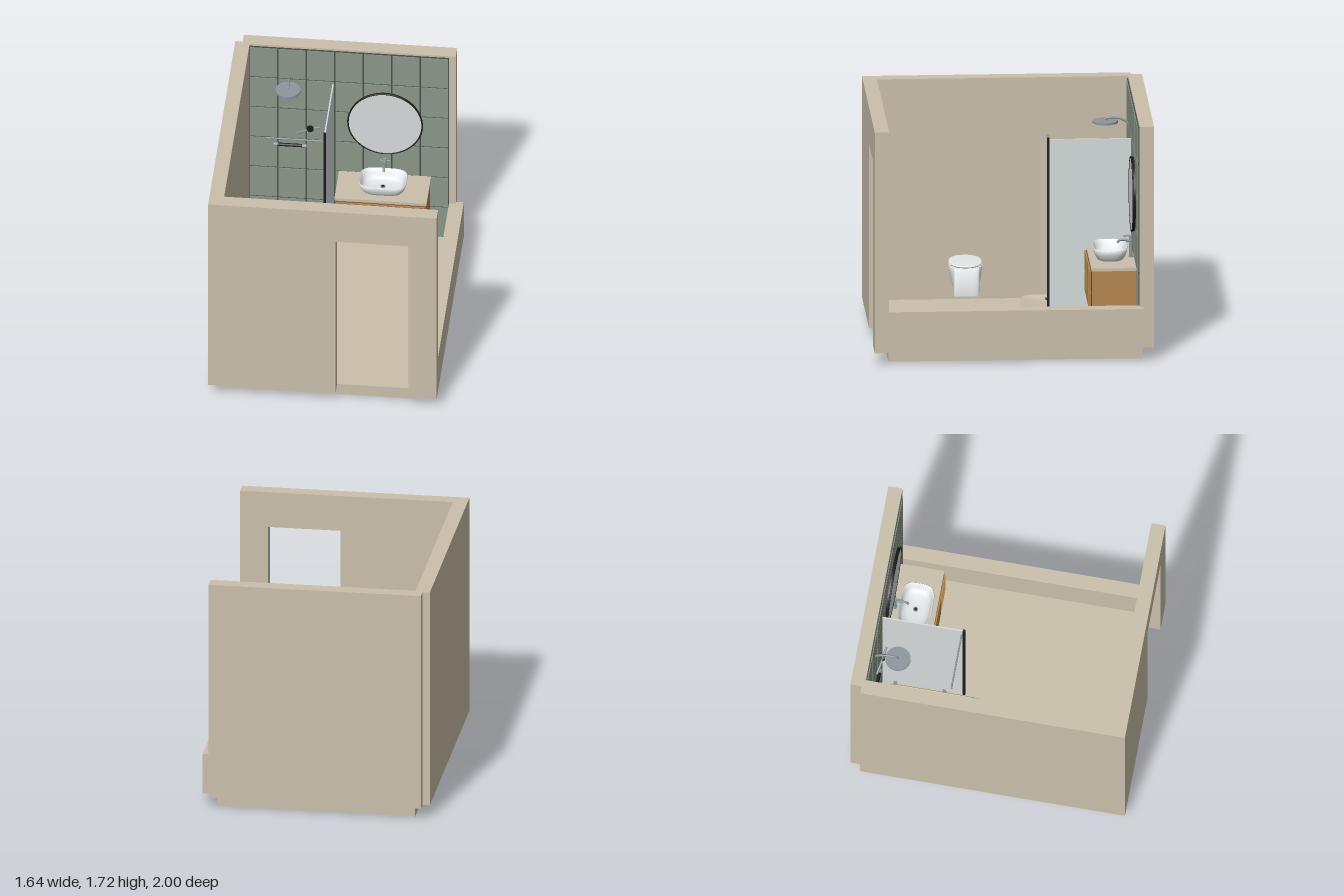
import * as THREE from 'three';
import { toCreasedNormals } from 'three/addons/utils/BufferGeometryUtils.js';

const mat = (name, color, side = THREE.FrontSide) => {
  const m = new THREE.MeshStandardMaterial({ color, side });
  m.name = name;
  return m;
};

export function createModel() {
  const root = new THREE.Group();
  root.name = 'bathroom';
  const M = {
    plaster: mat('warm plaster', 0xcabfab),
    tile: mat('sage tile', 0x8b9788),
    grout: mat('dark grout', 0x465048),
    ceramic: mat('white ceramic', 0xe6eaea),
    mirror: mat('pale glass', 0xd6dbdb),
    black: mat('matt black', 0x1c1c1c),
    chrome: mat('brushed steel', 0x8f969c),
    wood: mat('oak', 0xb58850),
    darkWood: mat('dark oak', 0x5e4022),
  };
  const group = (name, parent = root) => {
    const g = new THREE.Group();
    g.name = name;
    parent.add(g);
    return g;
  };
  const add = (name, geo, m, parent = root) => {
    const mesh = new THREE.Mesh(geo, m);
    mesh.name = name;
    parent.add(mesh);
    return mesh;
  };
  // box given by its limits on each axis
  const box = (name, [x0, x1], [y0, y1], [z0, z1], m, parent) => {
    const mesh = add(name, new THREE.BoxGeometry(x1 - x0, y1 - y0, z1 - z0), m, parent);
    mesh.position.set((x0 + x1) / 2, (y0 + y1) / 2, (z0 + z1) / 2);
    return mesh;
  };
  const cyl = (name, r, h, [x, y, z], m, parent, axis = 'y', seg = 24) => {
    const mesh = add(name, new THREE.CylinderGeometry(r, r, h, seg), m, parent);
    mesh.position.set(x, y, z);
    if (axis === 'x') mesh.rotation.z = Math.PI / 2;
    if (axis === 'z') mesh.rotation.x = Math.PI / 2;
    return mesh;
  };
  const tube = (name, pts, r, m, parent) => add(name, new THREE.TubeGeometry(
    new THREE.CatmullRomCurve3(pts.map(p => new THREE.Vector3(...p))), 28, r, 10), m, parent);
  // skin over superellipse rings: [y, half x, half z, exponent, x shift]
  const loft = (cx, cz, rings, crease = 0.6, seg = 64) => {
    const pos = [], idx = [];
    const pw = (v, n) => Math.sign(v) * Math.abs(v) ** (2 / n);
    rings.forEach(([y, a, b, n = 2, dx = 0], r) => {
      for (let i = 0; i < seg; i++) {
        const t = i / seg * Math.PI * 2;
        pos.push(cx + dx + a * pw(Math.cos(t), n), y, cz - b * pw(Math.sin(t), n));
        if (r) {
          const j = (i + 1) % seg, lo = (r - 1) * seg, hi = r * seg;
          idx.push(lo + i, lo + j, hi + j, lo + i, hi + j, hi + i);
        }
      }
    });
    const g = new THREE.BufferGeometry();
    g.setAttribute('position', new THREE.Float32BufferAttribute(pos, 3));
    g.setIndex(idx);
    return toCreasedNormals(g, crease);
  };

  // room shell
  const shell = group('roomShell');
  box('floorSlab', [-0.715, 0.715], [0, 0.09], [-0.92, 0.897], M.plaster, shell);
  box('leftSideWall', [-0.82, -0.715], [0.09, 1.715], [-0.92, 0.897], M.plaster, shell);
  box('lowWall', [0.715, 0.82], [0.09, 0.39], [-0.92, 0.897], M.plaster, shell);
  box('backWall', [-0.767, 0.764], [0.09, 1.715], [-1, -0.897], M.plaster, shell);
  const wall = new THREE.Shape([[-0.82, 0.09], [0.095, 0.09], [0.095, 1.45], [0.618, 1.45],
    [0.618, 0.09], [0.82, 0.09], [0.82, 1.715], [-0.82, 1.715]].map(p => new THREE.Vector2(...p)));
  add('doorWall', new THREE.ExtrudeGeometry(wall, { depth: 0.103, bevelEnabled: false }), M.plaster, shell)
    .position.z = 0.897;

  // tiled back wall
  const tiles = group('tiledWall');
  box('groutPanel', [-0.715, 0.715], [0.09, 1.7], [-0.897, -0.89], M.grout, tiles);
  const tw = 1.43 / 7, th = 1.605 / 6;
  for (let c = 0; c < 7; c++) for (let r = 0; r < 6; r++) {
    const x = -0.715 + c * tw, y = 0.093 + r * th;
    box('tile', [x + 0.005, x + tw - 0.005], [y + 0.005, y + th - 0.005], [-0.89, -0.884], M.tile, tiles);
  }

  // shower tray sloping to its centre, with slotted drain
  const shower = group('shower');
  add('showerTray', loft(-0.422, -0.504, [
    [0.091, 0.286, 0.38, 9], [0.108, 0.292, 0.386, 9], [0.116, 0.286, 0.38, 9],
    [0.116, 0.28, 0.374, 9], [0.11, 0.268, 0.362, 8], [0.093, 0.0005, 0.0005, 8]], 0.9), M.plaster, shower);
  box('drainBar', [-0.637, -0.595], [0.095, 0.111], [-0.706, -0.3], M.black, shower);
  for (let i = 0; i < 12; i++) {
    const z = -0.7 + i * 0.0333;
    box('drainSlot', [-0.63, -0.602], [0.108, 0.1125], [z, z + 0.025], M.chrome, shower);
  }

  // glass screen
  const screen = group('showerScreen');
  box('glassPanel', [-0.12, -0.11], [0.115, 1.41], [-0.884, -0.29], M.mirror, screen);
  box('screenPost', [-0.123, -0.107], [0.1, 1.42], [-0.302, -0.284], M.black, screen);
  cyl('supportRod', 0.006, 0.425, [-0.323, 1.335, -0.31], M.chrome, screen, 'x', 12);
  for (const z of [-0.79, -0.434]) box('screenFoot', [-0.129, -0.103], [0.09, 0.14], [z - 0.012, z + 0.012], M.chrome, screen);

  // overhead shower, mixer bar and hand shower
  cyl('showerHead', 0.09, 0.016, [-0.422, 1.458, -0.717], M.chrome, shower, 'y', 40);
  tube('showerArm', [[-0.422, 1.435, -0.885], [-0.422, 1.46, -0.86], [-0.422, 1.48, -0.82],
    [-0.422, 1.487, -0.765], [-0.422, 1.48, -0.727], [-0.422, 1.464, -0.717]], 0.008, M.chrome, shower);
  cyl('mixerBar', 0.012, 0.22, [-0.422, 0.85, -0.868], M.black, shower, 'x');
  for (const x of [-0.525, -0.319]) cyl('mixerKnob', 0.015, 0.03, [x, 0.85, -0.868], M.chrome, shower, 'x');
  tube('handShower', [[-0.38, 0.95, -0.878], [-0.32, 0.99, -0.862], [-0.27, 1.02, -0.85], [-0.2, 1.05, -0.84]], 0.008, M.chrome, shower);
  cyl('handShowerHead', 0.025, 0.014, [-0.275, 1.025, -0.845], M.black, shower, 'z');

  // round mirror
  const mirror = group('roundMirror');
  cyl('mirrorFrame', 0.266, 0.018, [0.26, 1.095, -0.876], M.black, mirror, 'z', 64);
  add('mirrorRim', new THREE.TorusGeometry(0.266, 0.006, 10, 72), M.black, mirror).position.set(0.26, 1.095, -0.866);
  cyl('mirrorGlass', 0.262, 0.005, [0.26, 1.095, -0.866], M.mirror, mirror, 'z', 64);

  // vanity with two slatted drawers
  const vanity = group('vanity');
  box('cabinet', [-0.067, 0.582], [0.29, 0.61], [-0.884, -0.566], M.wood, vanity);
  box('counter', [-0.073, 0.588], [0.611, 0.632], [-0.884, -0.562], M.plaster, vanity);
  for (const [y0, y1] of [[0.308, 0.447], [0.457, 0.603]]) {
    box('drawerPanel', [-0.06, 0.574], [y0, y1], [-0.566, -0.56], M.darkWood, vanity);
    box('drawerTopRail', [-0.06, 0.574], [y1 - 0.008, y1], [-0.56, -0.552], M.wood, vanity);
    for (let i = 0; i < 32; i++) {
      const x = -0.058 + i * 0.0199;
      box('slat', [x, x + 0.013], [y0, y1], [-0.56, -0.55], M.wood, vanity);
    }
  }

  // vessel basin
  const basin = group('basin');
  add('basinBowl', loft(0.262, -0.712, [
    [0.632, 0.001, 0.001, 3], [0.632, 0.13, 0.085, 3], [0.638, 0.142, 0.094, 3.2], [0.66, 0.157, 0.108, 3.4],
    [0.69, 0.168, 0.119, 3.6], [0.72, 0.172, 0.123, 3.6], [0.724, 0.169, 0.12, 3.6], [0.72, 0.164, 0.115, 3.6],
    [0.685, 0.154, 0.105, 3.4], [0.66, 0.135, 0.088, 3], [0.65, 0.1, 0.06, 2.6], [0.647, 0.001, 0.001, 2]], 0.9), M.ceramic, basin);
  cyl('basinDrain', 0.018, 0.006, [0.26, 0.65, -0.712], M.chrome, basin);
  cyl('drainPlug', 0.011, 0.004, [0.26, 0.653, -0.712], M.black, basin);

  // faucet
  const faucet = group('faucet');
  cyl('faucetBody', 0.012, 0.145, [0.26, 0.704, -0.862], M.chrome, faucet);
  cyl('faucetBase', 0.018, 0.008, [0.26, 0.636, -0.862], M.chrome, faucet);
  tube('faucetSpout', [[0.26, 0.745, -0.862], [0.26, 0.757, -0.82], [0.26, 0.758, -0.785], [0.26, 0.738, -0.764]], 0.009, M.chrome, faucet);
  box('faucetHandle', [0.252, 0.268], [0.782, 0.79], [-0.872, -0.81], M.chrome, faucet);
  cyl('faucetCap', 0.014, 0.012, [0.26, 0.78, -0.862], M.chrome, faucet);
  cyl('faucetCross', 0.006, 0.07, [0.26, 0.765, -0.865], M.chrome, faucet, 'x', 12);

  // toilet
  const toilet = group('toilet');
  add('toiletBowl', loft(-0.53, 0.277, [
    [0.2, 0.001, 0.001, 2, 0.07], [0.2, 0.1, 0.07, 2.4, 0.07], [0.23, 0.128, 0.088, 2.4, 0.045],
    [0.29, 0.155, 0.105, 2.4, 0.02], [0.35, 0.172, 0.116, 2.4, 0.003], [0.396, 0.176, 0.12, 2.4],
    [0.4, 0.172, 0.117, 2.4], [0.4, 0.001, 0.001, 2]], 0.8), M.ceramic, toilet);
  add('toiletLid', loft(-0.535, 0.277, [
    [0.404, 0.001, 0.001], [0.404, 0.17, 0.116, 2.2], [0.411, 0.176, 0.121, 2.2],
    [0.418, 0.17, 0.116, 2.2], [0.421, 0.12, 0.08, 2.2], [0.421, 0.001, 0.001]], 0.8), M.ceramic, toilet);
  add('toiletBack', loft(-0.385, 0.277, [
    [0.2, 0.001, 0.001, 6], [0.2, 0.038, 0.09, 6], [0.395, 0.038, 0.095, 6],
    [0.4, 0.034, 0.091, 6], [0.4, 0.001, 0.001, 6]], 0.8), M.ceramic, toilet);
  return root;
}
